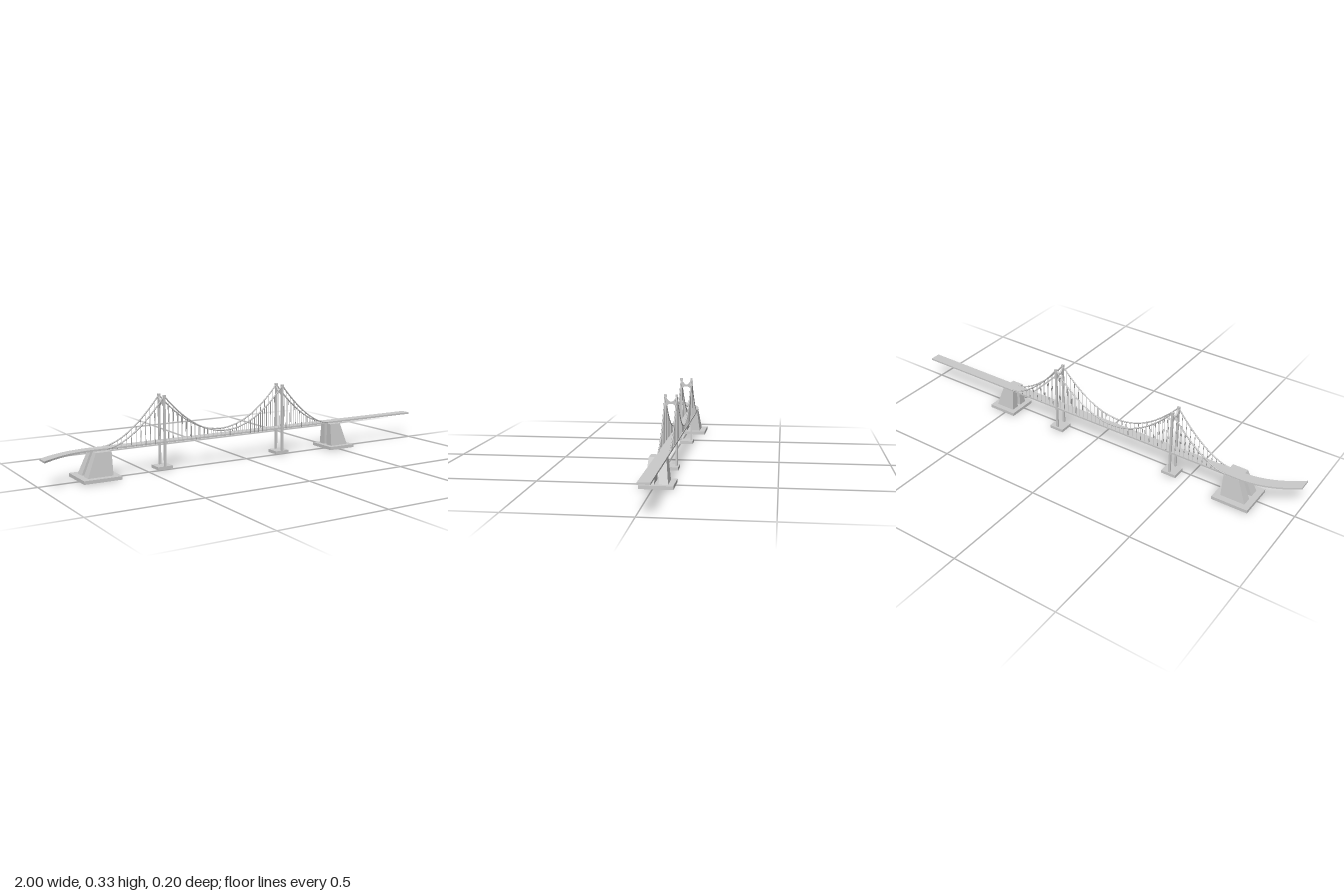
import * as THREE from 'three';

const material = new THREE.MeshStandardMaterial({ color: 0xcccccc });
const DECK_TOP = 0.127, DECK_BOTTOM = 0.119;
const TOWERS = [-0.42, 0.2], ENDS = [-0.69, 0.475];
const SIDES = [-0.001, -0.0525]; // z of the two cable planes
const DECK_Z = -0.031, ANCHOR_Z = -0.0135;

function add(parent, name, geometry) {
  const mesh = new THREE.Mesh(geometry, material);
  mesh.name = name;
  parent.add(mesh);
  return mesh;
}

// Box given by its limits
function block(parent, name, [x0, x1], [y0, y1], [z0, z1]) {
  const mesh = add(parent, name, new THREE.BoxGeometry(x1 - x0, y1 - y0, z1 - z0));
  mesh.position.set((x0 + x1) / 2, (y0 + y1) / 2, (z0 + z1) / 2);
  return mesh;
}

// Straight road that sweeps sideways at its right end
function addDeck(parent) {
  const s = new THREE.Shape();
  s.moveTo(1, 0.006);
  s.lineTo(1, 0.056);
  s.lineTo(-0.75, 0.056);
  s.quadraticCurveTo(-0.875, 0.056, -1, -0.038);
  s.lineTo(-1, -0.098);
  s.quadraticCurveTo(-0.875, 0.006, -0.75, 0.006);
  const g = new THREE.ExtrudeGeometry(s, {
    depth: DECK_TOP - DECK_BOTTOM, bevelEnabled: false, curveSegments: 16,
  });
  g.rotateX(-Math.PI / 2);
  g.translate(0, DECK_BOTTOM, 0);
  add(parent, 'deck', g);
}

// Two legs on a footing, joined near the top by a curved brace
function addTower(parent, x) {
  const tower = new THREE.Group();
  tower.name = 'tower';
  parent.add(tower);
  block(tower, 'towerFooting', [x - 0.036, x + 0.036], [0.002, 0.016], [-0.063, 0.002]);
  for (const z of SIDES) {
    block(tower, 'towerLeg', [x - 0.005, x + 0.005], [0.016, 0.325], [z - 0.004, z + 0.004]);
    block(tower, 'towerCap', [x - 0.006, x + 0.006], [0.322, 0.333], [z - 0.005, z + 0.005]);
  }
  const h = 0.0225;
  const s = new THREE.Shape();
  s.moveTo(-h, 0.28);
  s.quadraticCurveTo(0, 0.304, h, 0.28);
  s.lineTo(h, 0.322);
  s.quadraticCurveTo(0, 0.279, -h, 0.322);
  const g = new THREE.ExtrudeGeometry(s, { depth: 0.008, bevelEnabled: false, curveSegments: 14 });
  g.rotateY(Math.PI / 2);
  g.translate(x - 0.004, 0, (SIDES[0] + SIDES[1]) / 2);
  add(tower, 'towerBrace', g);
}

// Footing with two tapered piers; dir points away from the main span
function addAnchorage(parent, inner, dir, k, footY) {
  const anchorage = new THREE.Group();
  anchorage.name = 'anchorage';
  parent.add(anchorage);
  const xs = [inner - dir * 0.023 * k, inner + dir * 0.118 * k].sort((a, b) => a - b);
  block(anchorage, 'anchorageFooting', xs, [footY, footY + 0.015],
    [ANCHOR_Z - 0.0715 * k, ANCHOR_Z + 0.0715 * k]);
  for (const side of [1, -1]) {
    const g = new THREE.BoxGeometry(1, 1, 1);
    const p = g.attributes.position;
    for (let i = 0; i < p.count; i++) {
      const top = p.getY(i) > 0;
      const out = p.getX(i) * dir > 0;
      const far = p.getZ(i) * side > 0;
      p.setXYZ(i,
        inner + (out ? dir * (top ? 0.059 : 0.095) * k : 0),
        top ? DECK_BOTTOM + 0.001 : footY + 0.014,
        ANCHOR_Z + side * (far ? (top ? 0.036 : 0.0475) * k : 0.0092 * k));
    }
    g.computeVertexNormals();
    add(anchorage, 'anchoragePier', g);
  }
}

// Height of the main cable at x
function cableY(x) {
  const [a, b] = TOWERS;
  if (x < a) return 0.125 + 0.203 * ((x - ENDS[0]) / (a - ENDS[0])) ** 1.7;
  if (x > b) return 0.125 + 0.203 * ((ENDS[1] - x) / (ENDS[1] - b)) ** 1.7;
  return 0.147 + 0.181 * ((x - (a + b) / 2) / ((b - a) / 2)) ** 2;
}

// Cables and their hangers for one side of the deck
function addCables(parent, z) {
  const edge = DECK_Z + Math.sign(z - DECK_Z) * 0.024;
  const spans = [[ENDS[0], TOWERS[0], 12], [TOWERS[0], TOWERS[1], 28], [TOWERS[1], ENDS[1], 12]];
  spans.forEach(([x0, x1, n], s) => {
    const point = (t) => {
      const x = Math.min(x1, Math.max(x0, x0 + (x1 - x0) * t));
      const lean = s === 0 ? 1 - t : s === 2 ? t : 0;
      return new THREE.Vector3(x, cableY(x), z + (edge - z) * lean);
    };
    const points = Array.from({ length: 17 }, (_, i) => point(i / 16));
    add(parent, 'mainCable',
      new THREE.TubeGeometry(new THREE.CatmullRomCurve3(points), 32, 0.0032, 6));
    for (let i = 1; i < n; i++) {
      const p = point(i / n);
      const length = p.y - DECK_BOTTOM;
      const hanger = add(parent, 'hanger', new THREE.CylinderGeometry(0.0014, 0.0014, length, 6));
      hanger.position.set(p.x, DECK_BOTTOM + length / 2, p.z);
    }
  });
}

export function createModel() {
  const bridge = new THREE.Group();
  bridge.name = 'suspensionBridge';
  addDeck(bridge);
  TOWERS.forEach((x) => addTower(bridge, x));
  addAnchorage(bridge, -0.685, -1, 1.21, 0.003);
  addAnchorage(bridge, 0.468, 1, 1, 0);
  SIDES.forEach((z) => addCables(bridge, z));
  return bridge;
}
